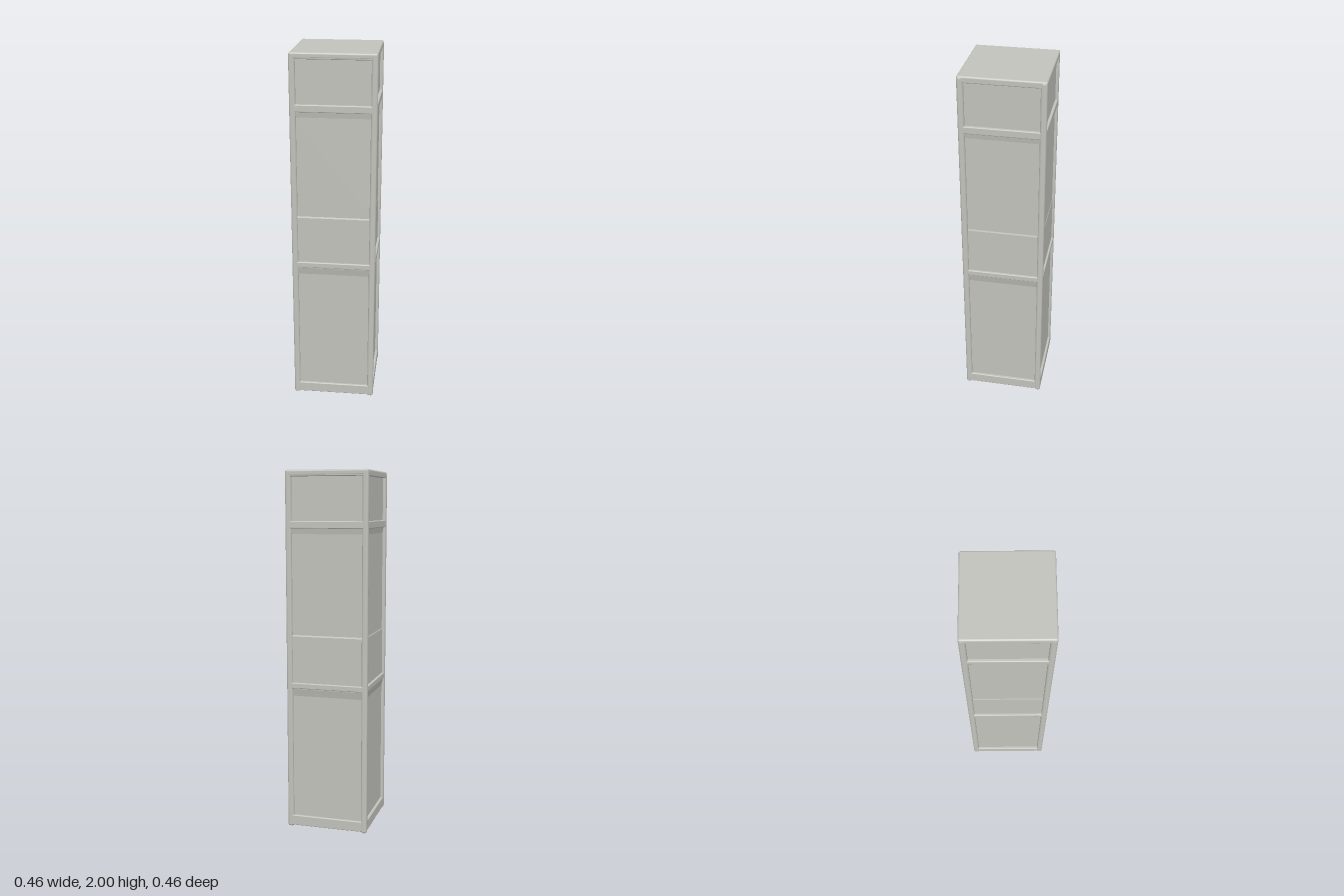
import * as THREE from 'three';
import { RoundedBoxGeometry } from 'three/addons/geometries/RoundedBoxGeometry.js';

const HALF_X = 0.231, HALF_Z = 0.228, POST = 0.034;

export function createModel() {
  const model = new THREE.Group();
  model.name = 'squareColumnCabinet';
  const grey = new THREE.MeshStandardMaterial({ color: 0xc2c2bc });
  grey.name = 'warm grey';

  const add = (parent, name, geometry, x = 0, y = 0, z = 0) => {
    const mesh = new THREE.Mesh(geometry, grey);
    mesh.name = name;
    mesh.position.set(x, y, z);
    parent.add(mesh);
    return mesh;
  };

  // Recessed panels: a square-section body, its floor raised above the open base
  const profile = [
    [0, 0.065], [0.214, 0.065], [0.214, 0.765], [0.223, 0.805], [0.223, 0.83],
    [0.216, 0.835], [0.216, 1.1], [0.213, 1.108], [0.213, 1.66], [0.218, 1.69],
    [0.213, 1.73], [0.213, 1.98], [0, 1.98],
  ].map(([half, y]) => new THREE.Vector2(half * Math.SQRT2, y));
  const body = new THREE.LatheGeometry(profile, 4, Math.PI / 4).toNonIndexed();
  body.computeVertexNormals();
  add(model, 'panels', body);

  // Rounded corner posts, standing on the ground
  for (const sx of [-1, 1]) for (const sz of [-1, 1]) {
    add(model, 'cornerPost', new RoundedBoxGeometry(POST, 1.996, POST, 3, 0.012),
      sx * (HALF_X - POST / 2), 0.998, sz * (HALF_Z - POST / 2));
  }

  // Cross rails and the base skirt on all four sides
  const rails = [
    ['baseSkirt', 0.008, 0.067], ['middleRail', 0.808, 0.84],
    ['upperRail', 1.69, 1.73], ['topRail', 1.965, 1.99],
  ];
  for (let side = 0; side < 4; side++) {
    const frame = new THREE.Group();
    frame.name = 'sideFrame';
    frame.rotation.y = side * Math.PI / 2;
    const face = side % 2 ? HALF_X - 0.002 : HALF_Z - 0.001;
    for (const [name, low, high] of rails) {
      add(frame, name, new RoundedBoxGeometry(0.42, high - low, 0.022, 2, 0.005),
        0, (low + high) / 2, face - 0.011);
    }
    model.add(frame);
  }

  // Flat top with softened edges
  add(model, 'topPlate',
    new RoundedBoxGeometry(HALF_X * 2 - 0.004, 0.032, HALF_Z * 2, 3, 0.01), 0, 1.984, 0);

  return model;
}
